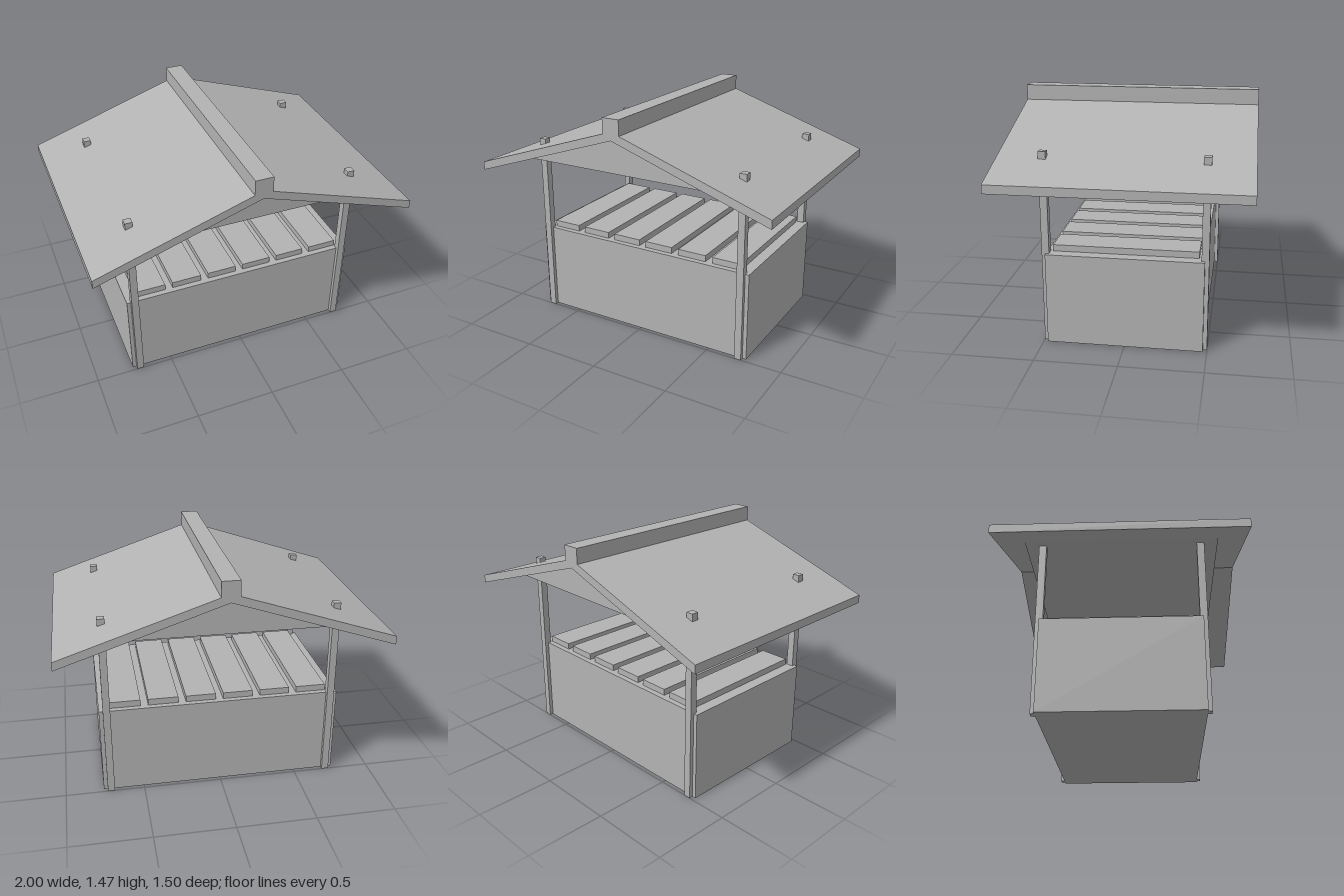
import * as THREE from 'three';

export function createModel() {
  const group = new THREE.Group();
  const grey = new THREE.MeshStandardMaterial({ color: 0xb3b3b3 });
  grey.name = 'plain grey';

  const add = (name, geometry, x = 0, y = 0, z = 0) => {
    const mesh = new THREE.Mesh(geometry, grey);
    mesh.name = name;
    mesh.position.set(x, y, z);
    group.add(mesh);
  };
  // Box standing on height y
  const box = (name, w, h, d, x, y, z) =>
    add(name, new THREE.BoxGeometry(w, h, d), x, y + h / 2, z);
  // Outline in x and y, extruded evenly to both sides of z = 0
  const prism = (name, points, depth) => {
    const shape = new THREE.Shape(points.map(([x, y]) => new THREE.Vector2(x, y)));
    const geometry = new THREE.ExtrudeGeometry(shape, { depth, bevelEnabled: false });
    add(name, geometry.translate(0, 0, -depth / 2));
  };

  // Stall body
  box('counterBody', 1.52, 0.57, 0.95, 0, 0, 0);

  // Six planks on top of the counter
  for (let i = 0; i < 6; i++) {
    box('counterPlank', 0.19, 0.04, 0.88, (i - 2.5) * 0.238, 0.57, 0);
  }

  // Corner posts, poking through the roof
  for (const sx of [-1, 1]) {
    for (const sz of [-1, 1]) {
      box('cornerPost', 0.045, 1.193, 0.045, sx * 0.713, 0, sz * 0.477);
    }
  }

  // Solid gable block, sloping roof slab and ridge beam
  prism('gableBlock', [[-0.795, 1.078], [0.795, 1.078], [0, 1.343]], 1.16);
  prism('roof', [[-1, 1.007], [0, 1.34], [1, 1.007], [1, 1.06], [0, 1.393], [-1, 1.06]], 1.5);
  box('ridgeBeam', 0.112, 0.11, 1.5, 0, 1.36, 0);

  return group;
}
